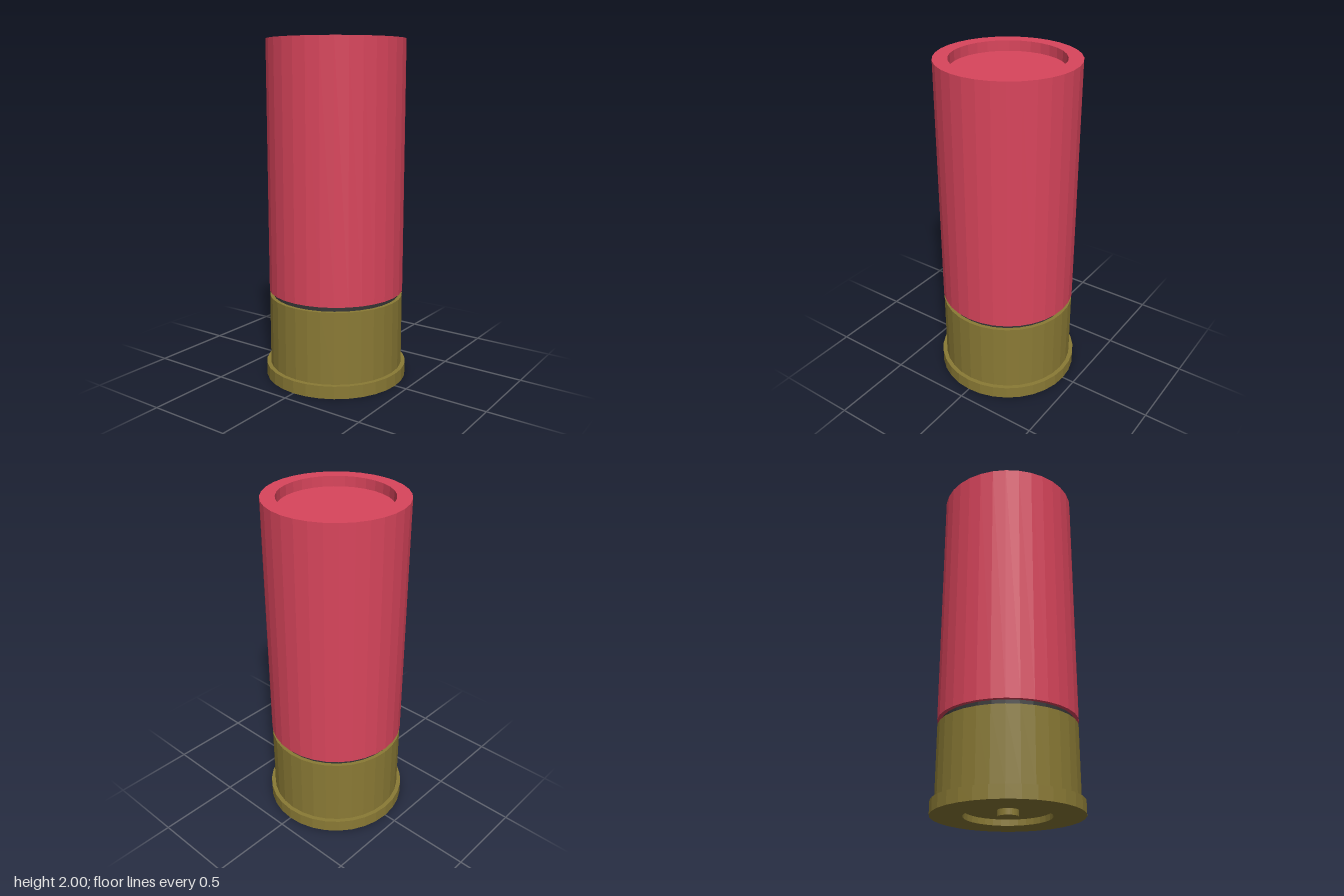
import * as THREE from 'three';

const SIDES = 32;

// Revolved part; the profile runs up the outside so that faces point outward.
function revolve(name, color, profile) {
  const points = profile.map(([r, y]) => new THREE.Vector2(r, y));
  const material = new THREE.MeshStandardMaterial({ color, flatShading: true });
  const mesh = new THREE.Mesh(new THREE.LatheGeometry(points, SIDES), material);
  mesh.name = name;
  return mesh;
}

export function createModel() {
  const group = new THREE.Group();
  group.name = 'cartridge';

  const red = 0xd9455c, brass = 0x8a7a35, dark = 0x363636;
  const recess = 0.035;

  group.add(
    // Metal base: central pin, ring-shaped recess, flange and cup
    revolve('brassBase', brass, [
      [0, 0], [0.06, 0], [0.06, recess], [0.245, recess], [0.245, 0],
      [0.425, 0], [0.425, 0.075], [0.4, 0.075], [0.4, 0.5], [0.378, 0.5],
    ]),
    // Dark band in the gap between base and tube
    revolve('neckBand', dark, [[0.378, 0.5], [0.378, 0.53]]),
    // Tube with a rim around a sunken top
    revolve('tube', red, [
      [0.378, 0.53], [0.402, 0.53], [0.402, 2], [0.32, 2], [0.32, 1.94], [0, 1.94],
    ]),
  );
  return group;
}
